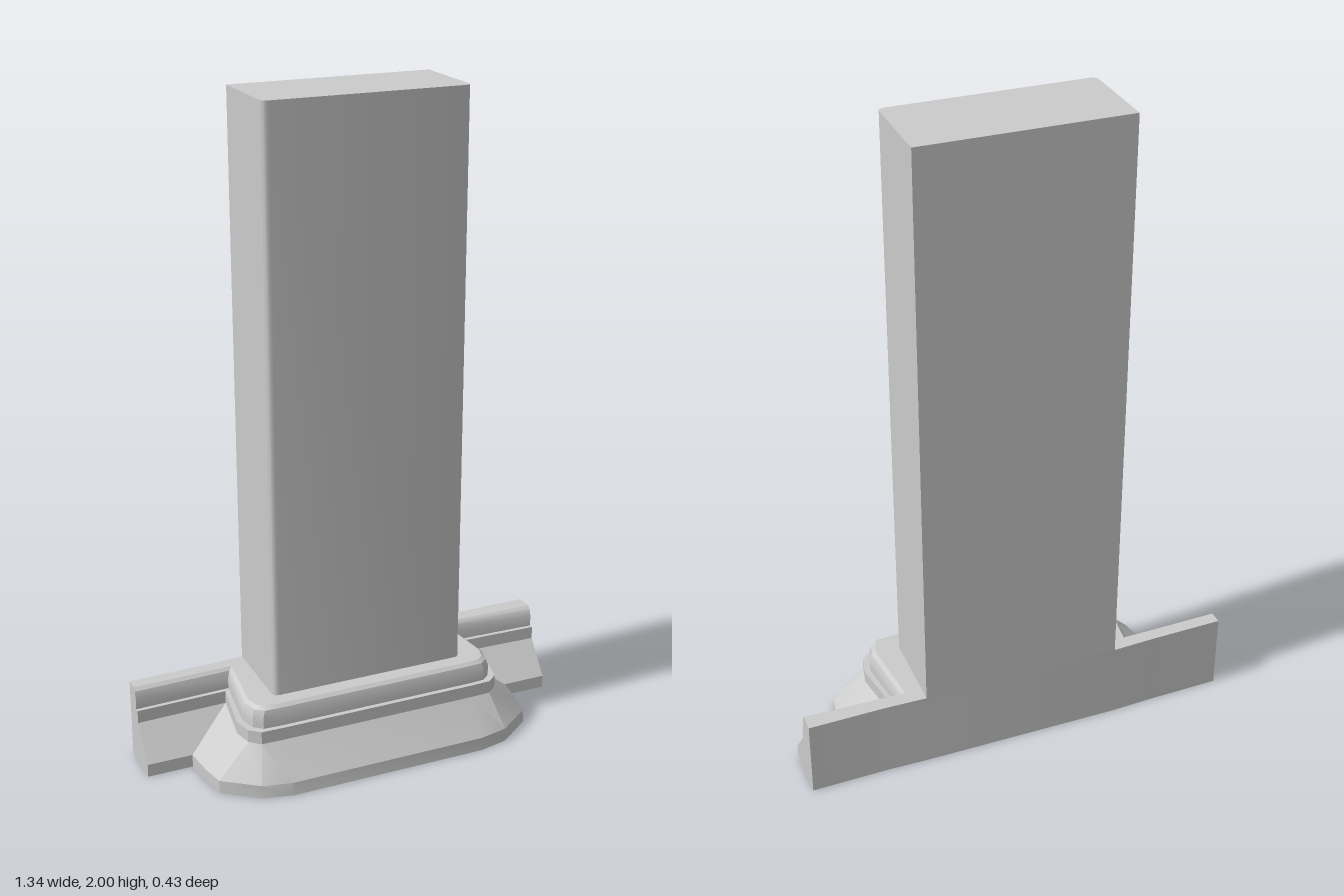
import * as THREE from 'three';
import { toCreasedNormals } from 'three/addons/utils/BufferGeometryUtils.js';

const material = new THREE.MeshStandardMaterial({ color: 0xcccccc });

// Right half of the moulding's front edge at each height:
// wing end, inner corner, side, then around the front corner.
const levels = [
  [0.00, [[0.67, -0.055], [0.53, -0.055], [0.52, 0.04], [0.505, 0.115], [0.40, 0.193], [0.31, 0.214]]],
  [0.04, [[0.67, -0.055], [0.53, -0.055], [0.52, 0.04], [0.505, 0.112], [0.40, 0.19], [0.31, 0.21]]],
  [0.14, [[0.67, -0.135], [0.39, -0.143], [0.42, 0.04], [0.407, 0.10], [0.375, 0.128], [0.31, 0.13]]],
  [0.18, [[0.67, -0.135], [0.39, -0.143], [0.42, 0.04], [0.407, 0.10], [0.375, 0.128], [0.31, 0.13]]],
  [0.18, [[0.67, -0.148], [0.375, -0.157], [0.402, 0.04], [0.388, 0.09], [0.362, 0.112], [0.31, 0.115]]],
  [0.215, [[0.67, -0.148], [0.375, -0.157], [0.402, 0.04], [0.388, 0.09], [0.362, 0.112], [0.31, 0.115]]],
  [0.236, [[0.67, -0.155], [0.368, -0.163], [0.394, 0.04], [0.381, 0.086], [0.356, 0.107], [0.31, 0.109]]],
  [0.245, [[0.67, -0.166], [0.358, -0.172], [0.382, 0.04], [0.37, 0.08], [0.347, 0.096], [0.31, 0.098]]],
];
// The back edge runs from the right side of the front view to the other
const back = [[-0.67, -0.206], [-0.44, -0.211], [-0.31, -0.217], [0.31, -0.217], [0.44, -0.214], [0.67, -0.217]];

function createBaseGeometry() {
  const positions = [];
  const loops = levels.map(([y, half]) => {
    const mirrored = half.map(([x, z]) => [-x, z]).reverse();
    return [...half, ...mirrored, ...back].map(([x, z]) => new THREE.Vector3(x, y, z));
  });
  const addTriangle = (...points) => points.forEach((p) => positions.push(p.x, p.y, p.z));

  // Walls between neighbouring levels
  for (let i = 0; i < loops.length - 1; i++) {
    const low = loops[i], high = loops[i + 1];
    for (let j = 0; j < low.length; j++) {
      const k = (j + 1) % low.length;
      addTriangle(low[j], high[j], high[k]);
      addTriangle(low[j], high[k], low[k]);
    }
  }

  // Underside and top ledge
  const addCap = (loop, facesUp) => {
    const outline = loop.map((p) => new THREE.Vector2(p.x, p.z));
    for (const [a, b, c] of THREE.ShapeUtils.triangulateShape(outline, [])) {
      if (facesUp) addTriangle(loop[a], loop[c], loop[b]);
      else addTriangle(loop[a], loop[b], loop[c]);
    }
  };
  addCap(loops[0], false);
  addCap(loops[loops.length - 1], true);

  const geometry = new THREE.BufferGeometry();
  geometry.setAttribute('position', new THREE.Float32BufferAttribute(positions, 3));
  return toCreasedNormals(geometry, 0.5);
}

// Rectangular shaft with eased front corners, extruded upward
function createShaftGeometry() {
  const w = 0.307, front = 0.053, rear = -0.217, r = 0.02, bottom = 0.23;
  const shape = new THREE.Shape();
  shape.moveTo(-w, -rear);
  shape.lineTo(-w, -front + r);
  shape.quadraticCurveTo(-w, -front, -w + r, -front);
  shape.lineTo(w - r, -front);
  shape.quadraticCurveTo(w, -front, w, -front + r);
  shape.lineTo(w, -rear);
  shape.closePath();
  const geometry = new THREE.ExtrudeGeometry(shape, { depth: 2 - bottom, bevelEnabled: false, curveSegments: 4 });
  geometry.rotateX(-Math.PI / 2);
  geometry.translate(0, bottom, 0);
  return toCreasedNormals(geometry, 0.6);
}

export function createModel() {
  const model = new THREE.Group();
  model.name = 'pilaster';

  const base = new THREE.Mesh(createBaseGeometry(), material);
  base.name = 'mouldedBase';

  const shaft = new THREE.Mesh(createShaftGeometry(), material);
  shaft.name = 'shaft';

  model.add(base, shaft);
  return model;
}
